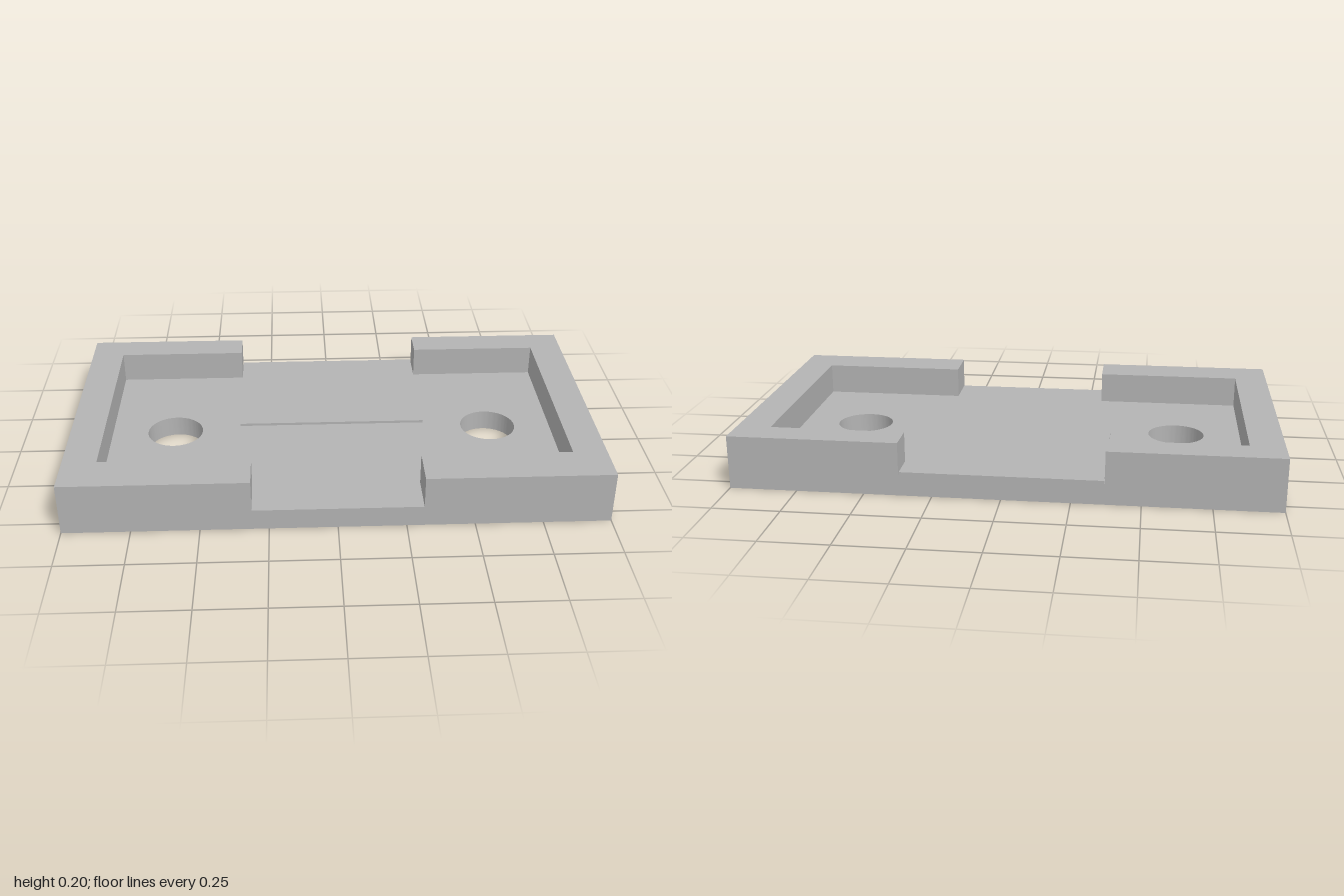
import * as THREE from 'three';
import { toCreasedNormals } from 'three/addons/utils/BufferGeometryUtils.js';

const HALF_X = 1, HALF_Z = 0.558;
const FLOOR = 0.08, TOP = 0.2;

// Plan outline given as [x, z] corners
function plan(points) {
  return new THREE.Shape(points.map(([x, z]) => new THREE.Vector2(x, -z)));
}

// Raise a plan outline from y = bottom to y = top
function raise(name, shape, bottom, top, material) {
  const geometry = new THREE.ExtrudeGeometry(shape, { depth: top - bottom, bevelEnabled: false, curveSegments: 48 });
  geometry.rotateX(-Math.PI / 2);
  geometry.translate(0, bottom, 0);
  const mesh = new THREE.Mesh(toCreasedNormals(geometry, 0.5), material);
  mesh.name = name;
  return mesh;
}

export function createModel() {
  const group = new THREE.Group();
  group.name = 'mountingTray';
  const grey = new THREE.MeshStandardMaterial({ color: 0xb3b3b3 });
  grey.name = 'grey';

  // Base plate with two through holes
  const base = plan([[-HALF_X, HALF_Z], [HALF_X, HALF_Z], [HALF_X, -HALF_Z], [-HALF_X, -HALF_Z]]);
  for (const s of [-1, 1]) {
    const hole = new THREE.Path();
    hole.absarc(s * 0.625, 0, 0.108, 0, Math.PI * 2, true);
    base.holes.push(hole);
  }
  group.add(raise('basePlate', base, 0, FLOOR, grey));

  // C-shaped rim walls, leaving a gap at the front and a wider one at the back
  for (const [name, s] of [['leftRim', 1], ['rightRim', -1]]) {
    const corners = [
      [0.312, HALF_Z], [HALF_X, HALF_Z], [HALF_X, -HALF_Z], [0.37, -HALF_Z],
      [0.37, -0.438], [0.873, -0.438], [0.873, 0.4], [0.312, 0.4],
    ];
    group.add(raise(name, plan(corners.map(([x, z]) => [s * x, z])), FLOOR, TOP, grey));
  }

  // Thin raised pad running in through the back gap
  const pad = plan([[-0.368, -0.032], [0.368, -0.032], [0.368, -HALF_Z], [-0.368, -HALF_Z]]);
  group.add(raise('raisedPad', pad, FLOOR, 0.09, grey));

  return group;
}
